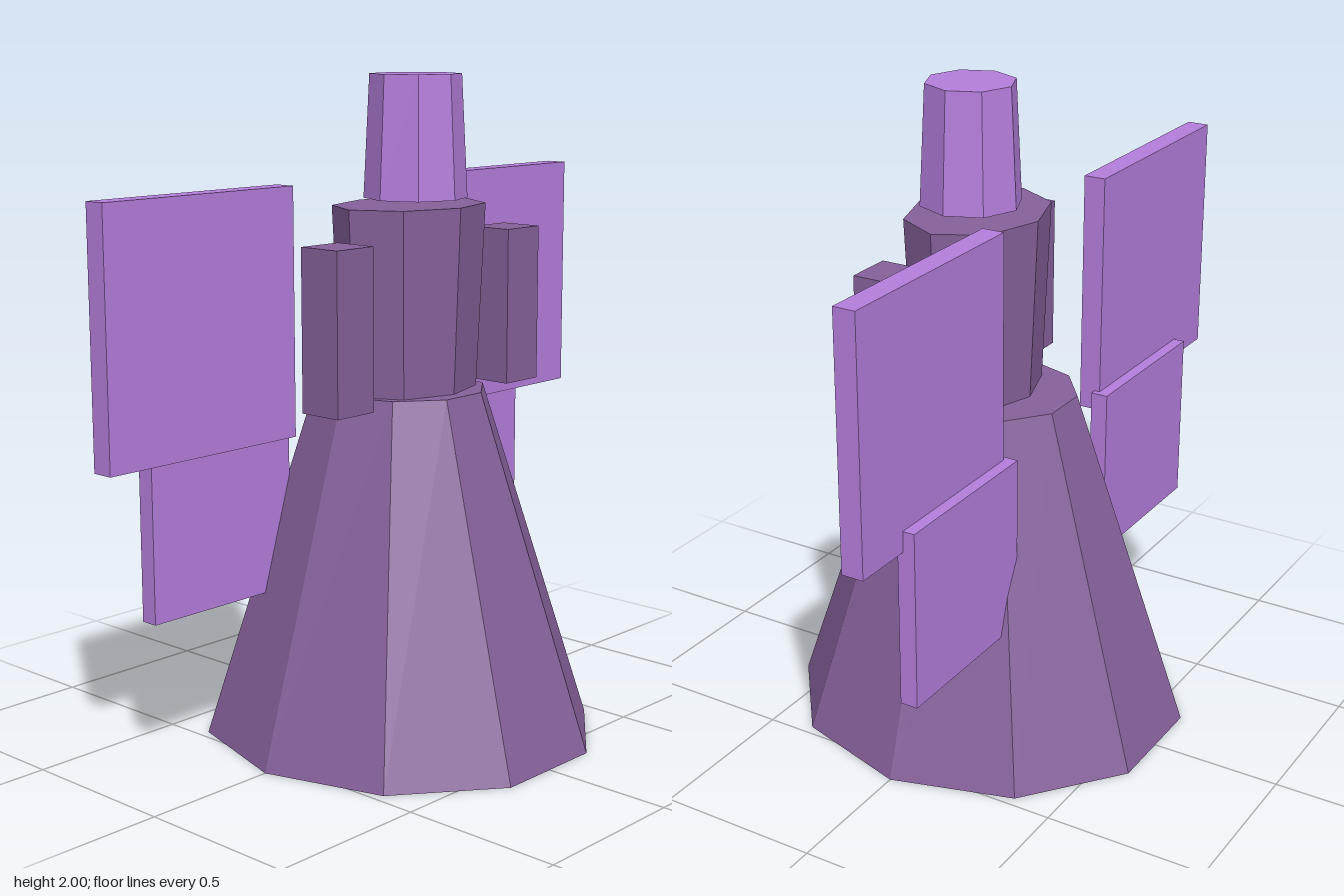
import * as THREE from 'three';

export function createModel() {
  const model = new THREE.Group();

  const lilac = new THREE.MeshStandardMaterial({ color: 0xb57edc });
  lilac.name = 'lilac';
  const plum = new THREE.MeshStandardMaterial({ color: 0x86619b });
  plum.name = 'plum';
  lilac.flatShading = plum.flatShading = true;

  // Faceted, tapered body section with a corner on the x axis
  function taper(name, material, sides, topRadius, bottomRadius, y0, y1, z, depthScale) {
    const geometry = new THREE.CylinderGeometry(topRadius, bottomRadius, y1 - y0, sides);
    geometry.rotateY(Math.PI / 2);
    geometry.scale(1, 1, depthScale);
    const mesh = new THREE.Mesh(geometry, material);
    mesh.name = name;
    mesh.position.set(0, (y0 + y1) / 2, z);
    model.add(mesh);
  }

  // Matching box on each side, given by its extents on the +x side
  function boxPair(name, material, [x0, x1], [y0, y1], [z0, z1]) {
    const geometry = new THREE.BoxGeometry(x1 - x0, y1 - y0, z1 - z0);
    for (const [side, sign] of [['left', 1], ['right', -1]]) {
      const mesh = new THREE.Mesh(geometry, material);
      mesh.name = side + name;
      mesh.position.set(sign * (x0 + x1) / 2, (y0 + y1) / 2, (z0 + z1) / 2);
      model.add(mesh);
    }
  }

  // Skirt, torso and floating head
  taper('skirt', plum, 10, 0.25, 0.579, 0, 1.07, 0, 1.083);
  taper('torso', plum, 8, 0.257, 0.229, 1.07, 1.62, 0.04, 0.78);
  taper('head', lilac, 8, 0.135, 0.153, 1.64, 2, 0.065, 1);

  // Arms beside the torso
  boxPair('Arm', plum, [0.298, 0.445], [1.055, 1.53], [0.035, 0.175]);

  // Upper and lower wing panels behind the body
  boxPair('UpperWing', lilac, [0.29, 0.995], [0.935, 1.68], [-0.22, -0.152]);
  boxPair('LowerWing', lilac, [0.27, 0.808], [0.46, 0.997], [-0.256, -0.202]);

  return model;
}
